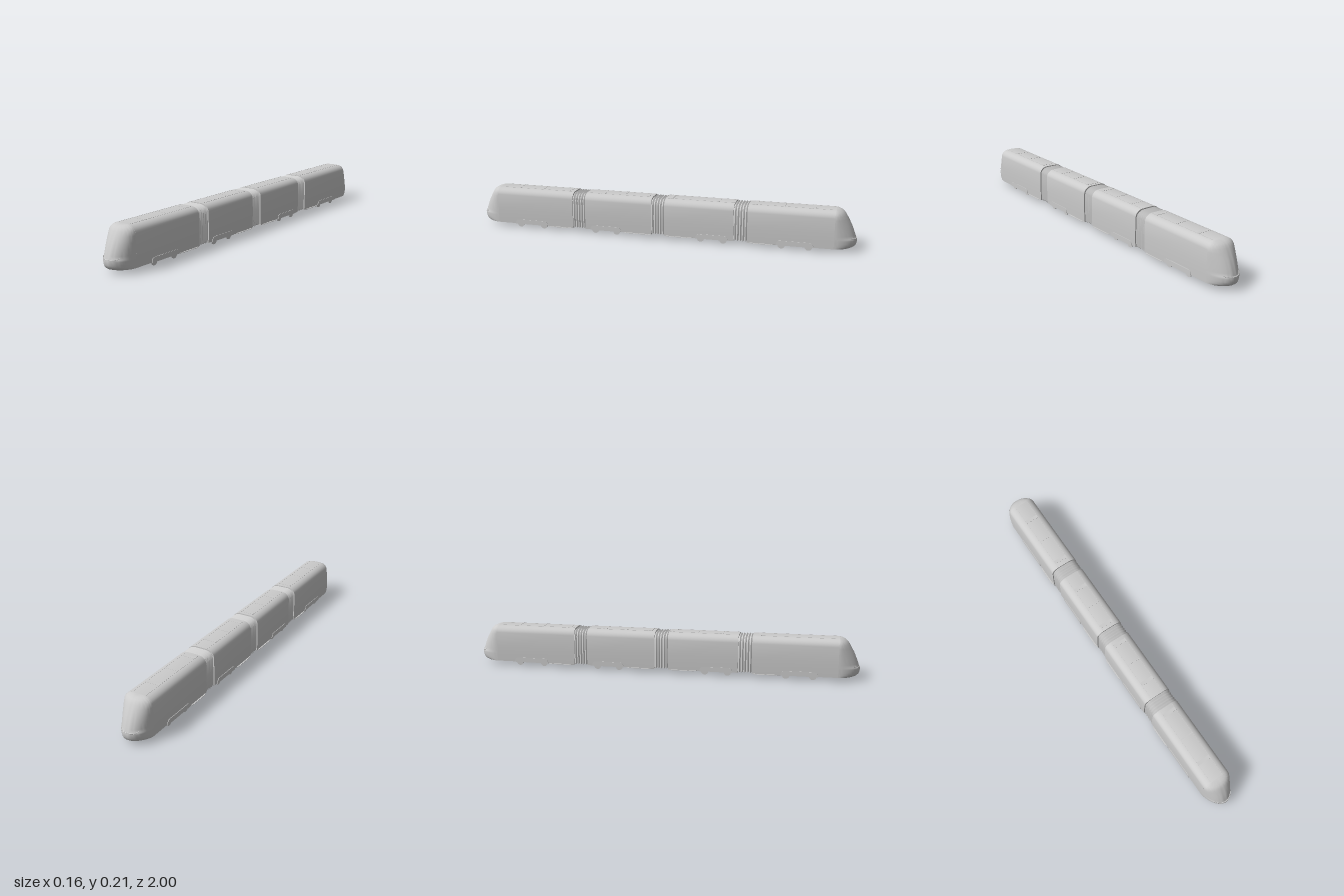
import * as THREE from 'three';
import { toCreasedNormals } from 'three/addons/utils/BufferGeometryUtils.js';

const grey = new THREE.MeshStandardMaterial({ color: 0xcccccc, side: THREE.DoubleSide });
const FLOOR = 0.02, ROOF = 0.21, NOSE_Z = 0.893;

// Half of the body cross-section: [half width, height]
const profile = [[0.072, FLOOR], [0.0735, 0.06], [0.074, 0.1], [0.073, 0.175], [0.071, 0.184],
  [0.066, 0.193], [0.059, 0.2], [0.048, 0.2065], [0.033, ROOF]];
const outline = [...profile, ...profile.map(([x, y]) => [-x, y]).reverse()];

function add(parent, name, geometry, x = 0, y = 0, z = 0) {
  const mesh = new THREE.Mesh(geometry, grey);
  mesh.name = name;
  mesh.position.set(x, y, z);
  parent.add(mesh);
  return mesh;
}

// Surface through rows of points
function loft(rows, closed = false) {
  const n = rows[0].length, index = [];
  for (let i = 0; i < rows.length - 1; i++) {
    for (let j = 0; j < (closed ? n : n - 1); j++) {
      const k = (j + 1) % n, a = i * n + j, b = i * n + k;
      index.push(a, b, a + n, b, b + n, a + n);
    }
  }
  const g = new THREE.BufferGeometry();
  g.setAttribute('position', new THREE.Float32BufferAttribute(rows.flat(2), 3));
  g.setIndex(index);
  g.computeVertexNormals();
  return g;
}

function halfWidth(y) {
  for (let i = 1; i < profile.length; i++) {
    const [x0, y0] = profile[i - 1], [x1, y1] = profile[i];
    if (y <= y1) return x0 + (x1 - x0) * (y - y0) / (y1 - y0);
  }
  return profile.at(-1)[0];
}

// Point on the rounded plan of the nose, t from -1 (right) to 1 (left)
function nosePoint(y, length, t, w = halfWidth(y)) {
  const a = t * Math.PI / 2;
  return [w * Math.sin(a), y, NOSE_Z + length * Math.pow(Math.max(0, Math.cos(a)), 1.15)];
}

function createNose() {
  const nose = new THREE.Group();
  nose.name = 'nose';
  // [height, how far the nose reaches forward]
  const levels = [[0.02, 0.078], [0.024, 0.09], [0.032, 0.1], [0.045, 0.105], [0.06, 0.107], [0.067, 0.106],
    [0.07, 0.101], [0.084, 0.097], [0.11, 0.087], [0.136, 0.076], [0.165, 0.06], [0.182, 0.05],
    [0.193, 0.042], [0.2, 0.034], [0.206, 0.022], [0.21, 0.006]];
  const steps = Array.from({ length: 33 }, (_, i) => -1 + i / 16);
  const row = ([y, l], w) => steps.map(t => nosePoint(y, l, t, w));
  const rows = [row([FLOOR, 0], 0), ...levels.map(l => row(l)), row([ROOF, 0], 0)];
  add(nose, 'noseShell', toCreasedNormals(loft(rows), 0.7));

  // Slim lip below the windscreen
  const points = [];
  for (let i = -8; i <= 8; i++) {
    const t = i / 8 * 0.45;
    points.push(new THREE.Vector3(...nosePoint(0.068 + 0.007 * Math.pow(Math.abs(i / 8), 4), 0.104, t)));
  }
  add(nose, 'noseLip', new THREE.TubeGeometry(new THREE.CatmullRomCurve3(points), 32, 0.002, 6));
  return nose;
}

function createCar(z0, z1) {
  const car = new THREE.Group();
  car.name = 'car';
  const shape = new THREE.Shape(outline.map(p => new THREE.Vector2(...p)));
  const length = z1 - z0;
  const body = new THREE.ExtrudeGeometry(shape, { depth: length, bevelEnabled: false });
  add(car, 'carBody', toCreasedNormals(body, 0.6), 0, 0, z0);

  // Roof panel edges, hatches and cross seam
  for (const s of [-1, 1]) {
    add(car, 'roofRail', new THREE.BoxGeometry(0.001, 0.001, length - 0.01), s * 0.035, ROOF - 0.0002, (z0 + z1) / 2);
  }
  for (const [f, depth] of [[0.08, 0.018], [0.42, 0.003], [0.75, 0.018]]) {
    add(car, 'roofHatch', new THREE.BoxGeometry(0.07, 0.002, depth), 0, ROOF, z0 + length * f);
  }
  return car;
}

// Folded bellows between two cars
function createGangway(z, length = 0.07) {
  const folds = 10, rows = [];
  for (let i = 0; i <= folds; i++) {
    const s = i % 2 ? 0.98 : 0.92;
    rows.push(outline.map(([x, y]) => [x * s, 0.116 + (y - 0.116) * s, z + length * (i / folds - 0.5)]));
  }
  const mesh = new THREE.Mesh(toCreasedNormals(loft(rows, true), 0.6), grey);
  mesh.name = 'gangway';
  // Floor of the passage
  add(mesh, 'gangwayFloor', new THREE.BoxGeometry(0.12, 0.004, length), 0, 0.028, z);
  return mesh;
}

function createBogie(zA, zB) {
  const bogie = new THREE.Group();
  bogie.name = 'bogie';
  const mid = (zA + zB) / 2, half = (zB - zA) / 2 + 0.026, top = 0.043;
  const cover = new THREE.Shape();
  cover.moveTo(-half, 0.019);
  cover.lineTo(half, 0.019);
  cover.quadraticCurveTo(half - 0.002, top, half - 0.02, top);
  cover.lineTo(-half + 0.02, top);
  cover.quadraticCurveTo(-half + 0.002, top, -half, 0.019);
  const coverGeometry = new THREE.ExtrudeGeometry(cover, { depth: 0.004, bevelEnabled: false, curveSegments: 6 });
  coverGeometry.translate(0, 0, -0.002).rotateY(Math.PI / 2);
  const wheel = new THREE.CylinderGeometry(0.019, 0.019, 0.004, 24).rotateZ(Math.PI / 2);
  for (const s of [-1, 1]) {
    add(bogie, 'bogieCover', coverGeometry, s * 0.0732, 0, mid);
    for (const z of [zA, zB]) add(bogie, 'wheel', wheel, s * 0.062, 0.019, z);
  }
  return bogie;
}

// Thin floor plate that stands out a little beyond the sides
function createFloorPlate(z0, z1) {
  const w = 0.078, n = 0.07, c = 0.02;
  const plate = new THREE.Shape([[-n, z0], [n, z0], [w, z0 + c], [w, z1 - c], [n, z1], [-n, z1], [-w, z1 - c], [-w, z0 + c]]
    .map(p => new THREE.Vector2(...p)));
  const g = new THREE.ExtrudeGeometry(plate, { depth: 0.002, bevelEnabled: false });
  g.rotateX(Math.PI / 2).translate(0, 0.0195, 0);
  const mesh = new THREE.Mesh(g, grey);
  mesh.name = 'floorPlate';
  return mesh;
}

export function createModel() {
  const train = new THREE.Group();
  train.name = 'train';

  // Each half of the train has a nose, an end car and a middle car
  for (const turn of [0, Math.PI]) {
    const half = new THREE.Group();
    half.name = turn ? 'rearHalf' : 'frontHalf';
    half.add(
      createNose(),
      createCar(0.465, NOSE_Z), createCar(0.035, 0.395),
      createGangway(0.43),
      createBogie(0.636, 0.77), createBogie(0.225, 0.342),
      createFloorPlate(0.47, 0.61), createFloorPlate(0.035, 0.185),
    );
    half.rotation.y = turn;
    train.add(half);
  }
  train.add(createGangway(0));
  return train;
}
